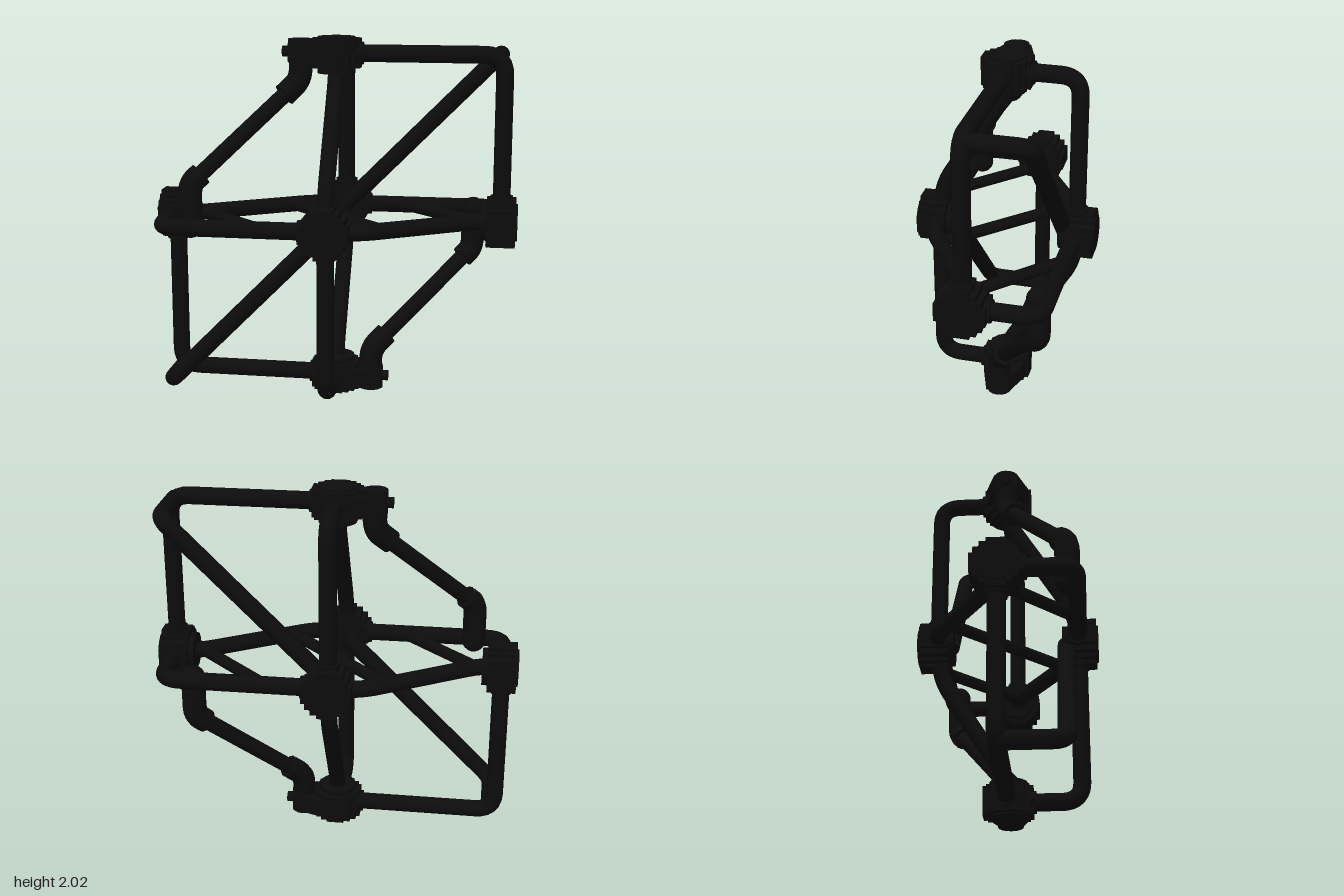
import * as THREE from 'three';

const black = new THREE.MeshStandardMaterial({ color: 0x0c0c0c });
black.name = 'black';

const H = 0.92; // hub distance along x and y
const D = 0.395; // hub distance along z

export function createModel() {
  const model = new THREE.Group();
  model.name = 'pipeFrame';
  const frame = new THREE.Group();
  frame.name = 'frame';
  frame.position.y = 1;
  model.add(frame);

  const add = (name, geometry, position, parent = frame) => {
    const mesh = new THREE.Mesh(geometry, black);
    mesh.name = name;
    if (position) mesh.position.copy(position);
    parent.add(mesh);
    return mesh;
  };

  // Pipe through points with rounded corners and closed ends
  function pipe(name, pts, radius, bend = 0.1) {
    const path = new THREE.CurvePath();
    let last = pts[0];
    for (let i = 1; i < pts.length - 1; i++) {
      const toward = (q) => {
        const v = q.clone().sub(pts[i]);
        return pts[i].clone().add(v.setLength(Math.min(bend, v.length() * 0.5)));
      };
      const a = toward(pts[i - 1]), b = toward(pts[i + 1]);
      path.add(new THREE.LineCurve3(last, a));
      path.add(new THREE.QuadraticBezierCurve3(a, pts[i], b));
      last = b;
    }
    path.add(new THREE.LineCurve3(last, pts[pts.length - 1]));
    const segments = pts.length > 2 ? 64 : 1;
    add(name, new THREE.TubeGeometry(path, segments, radius, 16), null);
    for (const t of [0, 1]) {
      const dir = path.getTangentAt(t).multiplyScalar(t ? 1 : -1);
      const cap = add(name + 'Cap', new THREE.CircleGeometry(radius, 16), path.getPointAt(t));
      cap.quaternion.setFromUnitVectors(new THREE.Vector3(0, 0, 1), dir);
    }
  }

  // Stepped round outline shared by the hubs
  const quarter = [[0.135, 0.05], [0.115, 0.05], [0.115, 0.085], [0.09, 0.085],
    [0.085, 0.09], [0.085, 0.115], [0.05, 0.115], [0.05, 0.135]];
  const outline = [];
  for (let q = 0; q < 4; q++) {
    for (const [x, y] of quarter) {
      outline.push(new THREE.Vector2(x, y).rotateAround(new THREE.Vector2(), q * Math.PI / 2));
    }
  }
  const hubGeo = new THREE.ExtrudeGeometry(new THREE.Shape(outline), { depth: 0.16, bevelEnabled: false });
  hubGeo.translate(0, 0, -0.08);
  const hubCollarGeo = new THREE.CylinderGeometry(0.105, 0.105, 0.2, 16);
  hubCollarGeo.rotateX(Math.PI / 2).translate(0, 0, -0.01);

  // Tapered arm holding the elbow socket beside the top and bottom hubs
  const armShape = new THREE.Shape([[0, -0.12], [0, 0.12], [-0.1, 0.12], [-0.26, 0.065], [-0.26, -0.065], [-0.1, -0.12]]
    .map(([x, y]) => new THREE.Vector2(x, y)));
  const armGeo = new THREE.ExtrudeGeometry(armShape, { depth: 0.1, bevelEnabled: false });
  armGeo.translate(0, 0, -0.05).rotateX(Math.PI / 2);

  // The two halves are point reflections of each other
  for (const s of [1, -1]) {
    const p = (x, y, z) => new THREE.Vector3(x, y, z).multiplyScalar(s);
    const path = (...list) => list.map((c) => p(...c));

    // Hubs facing outward
    const hubs = { sideHub: p(H, 0, 0), endHub: p(0, H, 0), faceHub: p(0, 0, 0.415) };
    for (const [name, at] of Object.entries(hubs)) {
      const hub = new THREE.Group();
      hub.name = name;
      hub.position.copy(at);
      hub.lookAt(at.clone().multiplyScalar(2));
      add(name + 'Disc', hubGeo, null, hub);
      add(name + 'Collar', hubCollarGeo, null, hub);
      frame.add(hub);
    }

    // Square-cornered pipes between hubs, with collars at both ends
    const loops = [
      ['uprightLoop', [0, H, 0], [H, H, 0], [H, 0, 0]],
      ['crossLoop', [0, H, 0], [0, H, -D], [0, 0, -D]],
      ['levelLoop', [H, 0, 0], [H, 0, -D], [0, 0, -D]],
    ];
    for (const [name, a, b, c] of loops) {
      pipe(name, path(a, b, c), 0.048, 0.11);
      for (const end of [a, c]) {
        const start = p(...end);
        const dir = p(...b).sub(start).setLength(0.15);
        pipe(name + 'Collar', [start, start.clone().add(dir)], 0.062);
      }
    }

    // Long diagonal with its return to the corner
    pipe('longDiagonal', path([0.89, 0.9, 0], [0.89, 0.9, -0.335], [0, 0, -0.325]), 0.048, 0.07);

    // Slanted ties between hubs
    pipe('upperTie', path([0, H, 0], [0, 0.8, 0], [0, 0.2, 0.375], [0, 0, D]), 0.046, 0.1);
    pipe('levelTie', path([H, 0, 0], [0.8, 0, 0], [0.18, 0, 0.385], [0, 0, D]), 0.046, 0.1);

    // Offset strut with sleeve elbows
    const top = [-0.2, 0.77, 0], low = [-0.75, 0.23, 0.35];
    const mix = (a, b, t) => a.map((v, i) => v + (b[i] - v) * t);
    pipe('strut', path([-0.2, 0.9, 0], top, low, [-0.75, 0, 0.35]), 0.045, 0.06);
    pipe('upperElbow', path([-0.2, 0.92, 0], top, mix(top, low, 0.15)), 0.066, 0.06);
    pipe('lowerElbow', path([-0.75, 0, 0.35], low, mix(low, top, 0.1)), 0.066, 0.06);
    add('strutFoot', new THREE.SphereGeometry(0.066, 20, 14), p(-0.75, 0, 0.35));

    // Socket for the upper elbow
    const arm = add('socketArm', armGeo, p(0, 0.925, 0));
    if (s < 0) arm.rotation.y = Math.PI;
    add('socket', new THREE.CylinderGeometry(0.07, 0.07, 0.13, 16), p(-0.2, 0.93, 0));
    const pin = add('socketPin', new THREE.CylinderGeometry(0.03, 0.03, 0.06, 12), p(-0.27, 0.925, 0));
    pin.rotation.z = Math.PI / 2;

    // Level braces
    pipe('sideBrace', path([-0.76, 0, 0], [-0.37, 0, 0.37]), 0.034);
    pipe('middleBrace', path([0, 0, 0], [0.31, 0, 0.31]), 0.034);
  }
  return model;
}
